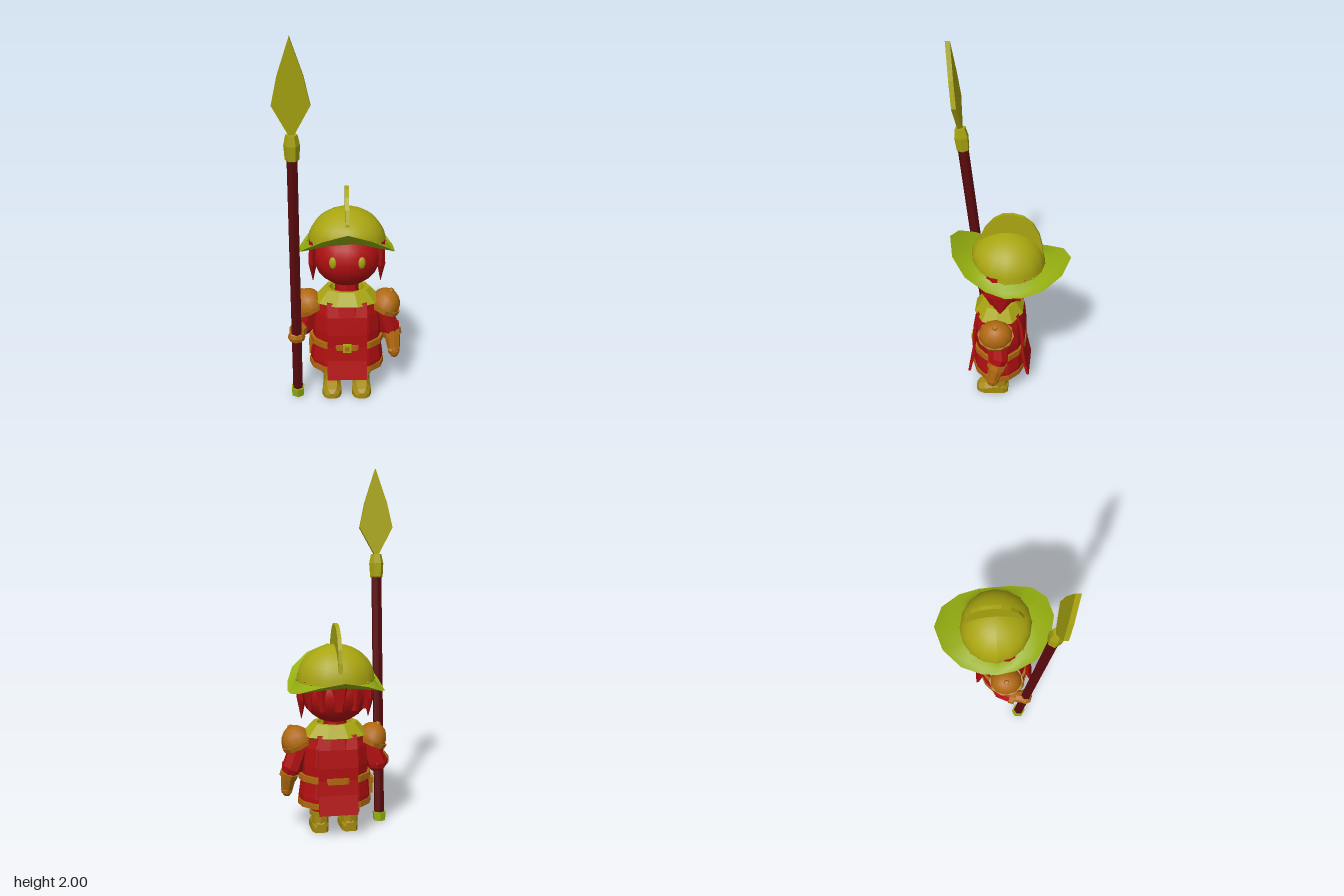
import * as THREE from 'three';

const RED = 0xb00f10, DARK = 0x5a0a0d, GOLD = 0xa9a510, LIME = 0x95ae10, ORANGE = 0xb0690f, BOOT = 0xa58a10;
const CX = 0.023; // body centre line
const V = (x, y, z) => new THREE.Vector3(x, y, z);

function add(parent, name, geo, color, pos = [0, 0, 0], flat = true) {
  const mat = new THREE.MeshStandardMaterial({ color, flatShading: flat, side: THREE.DoubleSide });
  const mesh = new THREE.Mesh(geo, mat);
  mesh.name = name;
  mesh.position.set(...pos);
  parent.add(mesh);
  return mesh;
}

function addGroup(parent, name, x = 0, y = 0, z = 0) {
  const g = new THREE.Group();
  g.name = name;
  g.position.set(x, y, z);
  parent.add(g);
  return g;
}

// tapered tube between two points
function limb(parent, name, a, b, ra, rb, color, sides = 8) {
  const dir = b.clone().sub(a);
  const m = add(parent, name, new THREE.CylinderGeometry(rb, ra, dir.length(), sides), color);
  m.position.copy(a).add(b).multiplyScalar(0.5);
  m.quaternion.setFromUnitVectors(V(0, 1, 0), dir.normalize());
  return m;
}

// oval lathe around the body axis
function oval(parent, name, profile, depth, color, sides = 14) {
  const geo = new THREE.LatheGeometry(profile.map(p => new THREE.Vector2(...p)), sides, Math.PI / sides);
  return add(parent, name, geo.scale(1, 1, depth), color, [0, 0, 0.05]);
}

// side profile given as (z, y) pairs, given a width along x
function sideSlab(parent, name, pts, width, color) {
  const shape = new THREE.Shape(pts.map(p => new THREE.Vector2(...p)));
  const geo = new THREE.ExtrudeGeometry(shape, { depth: width, bevelEnabled: false });
  geo.translate(0, 0, -width / 2).rotateY(-Math.PI / 2);
  return add(parent, name, geo, color);
}

// skin closed rings of equal length
function loft(rings) {
  const n = rings[0].length, index = [];
  for (let r = 0; r + 1 < rings.length; r++)
    for (let i = 0; i < n; i++) {
      const a = r * n + i, b = r * n + (i + 1) % n;
      index.push(a, b, a + n, b, b + n, a + n);
    }
  const geo = new THREE.BufferGeometry().setFromPoints(rings.flat());
  geo.setIndex(index);
  geo.computeVertexNormals();
  return geo;
}

// height of the helmet's lower edge, rising to the front
const rimY = z => 0.873 + 0.055 * Math.pow(Math.max(0, z / 0.2), 1.5);

function buildHelmet(root) {
  const helmet = addGroup(root, 'helmet', CX);
  const dome = new THREE.SphereGeometry(1, 16, 10, 0, Math.PI * 2, 0, Math.PI / 2);
  const p = dome.attributes.position;
  for (let i = 0; i < p.count; i++) {
    const z = p.getZ(i) * 0.2, base = rimY(z);
    p.setXYZ(i, p.getX(i) * 0.213, base + p.getY(i) * (1.066 - base), z);
  }
  dome.computeVertexNormals();
  add(helmet, 'dome', dome, GOLD, [0, 0, 0], false);

  // swept brim: half outline (x, y, z) from back to front, then mirrored
  const half = [[0, 0.92, -0.339], [0.127, 0.89, -0.296], [0.216, 0.845, -0.198], [0.255, 0.822, -0.087],
    [0.262, 0.82, 0], [0.253, 0.85, 0.1], [0.216, 0.91, 0.21], [0.127, 0.975, 0.287], [0, 1.02, 0.315]];
  const outline = [...half, ...half.slice(1, -1).reverse().map(([x, y, z]) => [-x, y, z])];
  const outer = outline.map(q => V(...q));
  const inner = outer.map((_, i) => {
    const t = i * Math.PI / 8, z = -0.197 * Math.cos(t);
    return V(0.21 * Math.sin(t), rimY(z), z);
  });
  const mid = outer.map((q, i) => q.clone().lerp(inner[i], 0.5).add(V(0, -0.015, 0)));
  add(helmet, 'brim', loft([outer, mid, inner]), LIME, [0, 0, 0], false);

  // thin crest
  sideSlab(helmet, 'crest', [[0.162, 0.96], [0.155, 1.02], [0.125, 1.09], [0.08, 1.145], [0.03, 1.175], [-0.02, 1.18],
    [-0.08, 1.165], [-0.13, 1.125], [-0.165, 1.06], [-0.182, 0.99], [-0.188, 0.93], [0, 0.95]], 0.021, GOLD);

  for (let i = 0; i < 8; i++) {
    const t = i * Math.PI / 4, z = 0.201 * Math.cos(t);
    add(helmet, 'rivet', new THREE.OctahedronGeometry(0.008), LIME, [0.213 * Math.sin(t), rimY(z) + 0.006, z]);
  }
}

function buildHead(root) {
  const head = addGroup(root, 'head', CX);
  add(head, 'face', new THREE.SphereGeometry(1, 16, 12).scale(0.185, 0.165, 0.172), RED, [0, 0.8, 0.02], false);
  for (const s of [-1, 1]) {
    add(head, 'eye', new THREE.SphereGeometry(1, 10, 8).scale(0.021, 0.033, 0.012), GOLD, [s * 0.077, 0.815, 0.175], false)
      .rotation.y = s * 0.4;
    add(head, 'nostril', new THREE.BoxGeometry(0.006, 0.006, 0.006), DARK, [s * 0.013, 0.74, 0.176]);
    // side locks of hair, tapering to a point
    const lock = add(head, 'sideLock', new THREE.ConeGeometry(0.085, 0.12, 6).scale(0.3, -1, 1), RED, [s * 0.185, 0.71, 0.03]);
    lock.geometry.index.array.reverse();
    lock.geometry.computeVertexNormals();
    add(head, 'sideHair', new THREE.CylinderGeometry(0.07, 0.085, 0.13, 6).scale(0.3, 1, 1), RED, [s * 0.185, 0.835, 0.03]);
  }
  // hair at the back
  for (const a of [-1.05, -0.5, 0, 0.5, 1.05]) {
    const tuft = new THREE.CylinderGeometry(0.06, 0.025, 0.16, 5).scale(1, 1, 0.5);
    add(head, 'backLock', tuft, RED, [0.165 * Math.sin(a), 0.805, 0.015 - 0.15 * Math.cos(a)]).rotation.y = a;
  }
}

function buildBody(root) {
  const body = addGroup(root, 'body', CX);
  oval(body, 'tunic', [[0, 0.175], [0.2, 0.175], [0.202, 0.22], [0.187, 0.33], [0.192, 0.4], [0.185, 0.5], [0.165, 0.57], [0, 0.6]], 0.76, RED);
  oval(body, 'hem', [[0.19, 0.165], [0.207, 0.165], [0.207, 0.198], [0.19, 0.198]], 0.76, ORANGE);
  oval(body, 'belt', [[0.18, 0.31], [0.203, 0.31], [0.203, 0.345], [0.18, 0.345]], 0.77, ORANGE);
  oval(body, 'collar', [[0.175, 0.555], [0.187, 0.562], [0.128, 0.628], [0.1, 0.628], [0.09, 0.58]], 0.76, GOLD, 10);
  add(body, 'neck', new THREE.CylinderGeometry(0.06, 0.07, 0.12, 8), RED, [0, 0.62, 0.03]);

  // tabard panels, front and back
  const panel = [[0.115, 0.575], [0.137, 0.5], [0.147, 0.4], [0.146, 0.33], [0.155, 0.25], [0.178, 0.145],
    [0.163, 0.145], [0.14, 0.25], [0.13, 0.33], [0.13, 0.4], [0.12, 0.5], [0.1, 0.575]];
  for (const s of [1, -1])
    sideSlab(body, s > 0 ? 'frontTabard' : 'backTabard', panel.map(([z, y]) => [0.05 + s * z, y]), 0.214, RED);

  add(body, 'buckle', new THREE.BoxGeometry(0.048, 0.048, 0.014), GOLD, [0, 0.327, 0.206]);
  add(body, 'bucklePlate', new THREE.BoxGeometry(0.022, 0.022, 0.018), ORANGE, [0, 0.327, 0.207]);
  add(body, 'beltHanger', new THREE.BoxGeometry(0.02, 0.035, 0.075), ORANGE, [-0.2, 0.295, 0.03]);
  add(body, 'beltStrap', new THREE.BoxGeometry(0.018, 0.07, 0.035), ORANGE, [-0.2, 0.25, 0.03]);
}

function buildLeg(root, s) {
  const leg = addGroup(root, s > 0 ? 'leftLeg' : 'rightLeg', CX + s * 0.083);
  limb(leg, 'trouser', V(0, 0.1, 0.045), V(0, 0.22, 0.05), 0.05, 0.058, RED);
  limb(leg, 'bootShaft', V(0, 0.02, 0.045), V(0, 0.11, 0.045), 0.048, 0.05, BOOT);
  limb(leg, 'bootCuff', V(0, 0.095, 0.045), V(0, 0.122, 0.045), 0.058, 0.06, BOOT);
  // foot from oval cross-sections, heel to toe: z, half width, height
  const rings = [[-0.005, 0.03, 0.05], [0.02, 0.045, 0.08], [0.08, 0.05, 0.09], [0.13, 0.053, 0.068], [0.165, 0.042, 0.05], [0.18, 0.02, 0.03]]
    .map(([z, w, h]) => [[-1, 0], [-1, 0.5], [-0.55, 1], [0.55, 1], [1, 0.5], [1, 0]].map(([x, y]) => V(x * w, y * h, z)));
  const cap = ring => ring.map(() => V(0, 0.015, ring[0].z));
  add(leg, 'bootFoot', loft([cap(rings[0]), ...rings, cap(rings[5])]), BOOT);
}

function buildShoulder(root, s) {
  const pad = addGroup(root, s > 0 ? 'leftShoulderPad' : 'rightShoulderPad', CX + s * 0.205, 0.51, 0.052);
  pad.rotation.z = -s * 0.42;
  const dome = new THREE.SphereGeometry(1, 10, 5, 0, Math.PI * 2, 0, Math.PI / 2).scale(0.085, 0.095, 0.095);
  add(pad, 'padDome', dome, ORANGE, [0, 0.008, 0], false);
  add(pad, 'padRim', new THREE.CylinderGeometry(0.092, 0.088, 0.026, 10, 1).scale(1, 1, 1.1), ORANGE);
  add(pad, 'padStud', new THREE.CylinderGeometry(0.012, 0.016, 0.012, 8), ORANGE, [0, 0.105, 0]);
}

function buildArms(root) {
  const left = addGroup(root, 'leftArm');
  limb(left, 'upperArm', V(0.2, 0.54, 0.05), V(0.262, 0.37, 0.035), 0.06, 0.058, RED);
  limb(left, 'sleeveEnd', V(0.262, 0.39, 0.035), V(0.277, 0.335, 0.045), 0.058, 0.045, RED);
  limb(left, 'cuff', V(0.272, 0.355, 0.038), V(0.281, 0.325, 0.046), 0.055, 0.053, ORANGE);
  limb(left, 'gauntlet', V(0.278, 0.335, 0.042), V(0.288, 0.255, 0.062), 0.045, 0.036, ORANGE);
  add(left, 'hand', new THREE.SphereGeometry(1, 8, 6).scale(0.033, 0.042, 0.038), ORANGE, [0.289, 0.243, 0.066]);
  add(left, 'thumb', new THREE.SphereGeometry(0.016, 6, 5), ORANGE, [0.268, 0.25, 0.09]);

  // the right arm bends forward to grip the spear
  const right = addGroup(root, 'rightArm');
  limb(right, 'upperArm', V(-0.155, 0.54, 0.05), V(-0.208, 0.39, 0.025), 0.06, 0.056, RED);
  add(right, 'elbow', new THREE.SphereGeometry(0.056, 8, 6), RED, [-0.21, 0.39, 0.03]);
  limb(right, 'sleeve', V(-0.21, 0.388, 0.03), V(-0.25, 0.382, 0.09), 0.056, 0.042, RED);
  limb(right, 'cuff', V(-0.24, 0.383, 0.08), V(-0.253, 0.382, 0.11), 0.05, 0.048, ORANGE);
  limb(right, 'gauntlet', V(-0.24, 0.383, 0.09), V(-0.253, 0.38, 0.15), 0.038, 0.036, ORANGE);
  add(right, 'hand', new THREE.SphereGeometry(1, 8, 6).scale(0.048, 0.039, 0.042), ORANGE, [-0.252, 0.38, 0.165]);
}

function buildSpear(root) {
  // leans slightly forward toward the top
  const spear = addGroup(root, 'spear', -0.251, 0.004, 0.13);
  spear.rotation.x = Math.atan(0.1);
  limb(spear, 'shaft', V(0, 0.01, 0), V(0, 1.42, 0), 0.03, 0.03, DARK, 6);
  limb(spear, 'buttCap', V(0, 0, 0), V(0, 0.05, 0), 0.036, 0.04, LIME, 6);
  const socket = [[0.03, 1.4], [0.036, 1.405], [0.041, 1.48], [0.03, 1.533], [0, 1.533]].map(p => new THREE.Vector2(...p));
  add(spear, 'socket', new THREE.LatheGeometry(socket, 6, Math.PI / 6), GOLD);
  const blade = new THREE.Shape([[0, 2.006], [-0.063, 1.82], [-0.094, 1.68], [-0.012, 1.53], [0.012, 1.53], [0.094, 1.68], [0.063, 1.82]]
    .map(p => new THREE.Vector2(...p)));
  add(spear, 'blade', new THREE.ExtrudeGeometry(blade, { depth: 0.026, bevelEnabled: false }), GOLD, [0, 0, -0.013]);
}

export function createModel() {
  const root = new THREE.Group();
  root.name = 'spearGuard';
  buildHelmet(root);
  buildHead(root);
  buildBody(root);
  for (const s of [1, -1]) {
    buildLeg(root, s);
    buildShoulder(root, s);
  }
  buildArms(root);
  buildSpear(root);
  return root;
}
